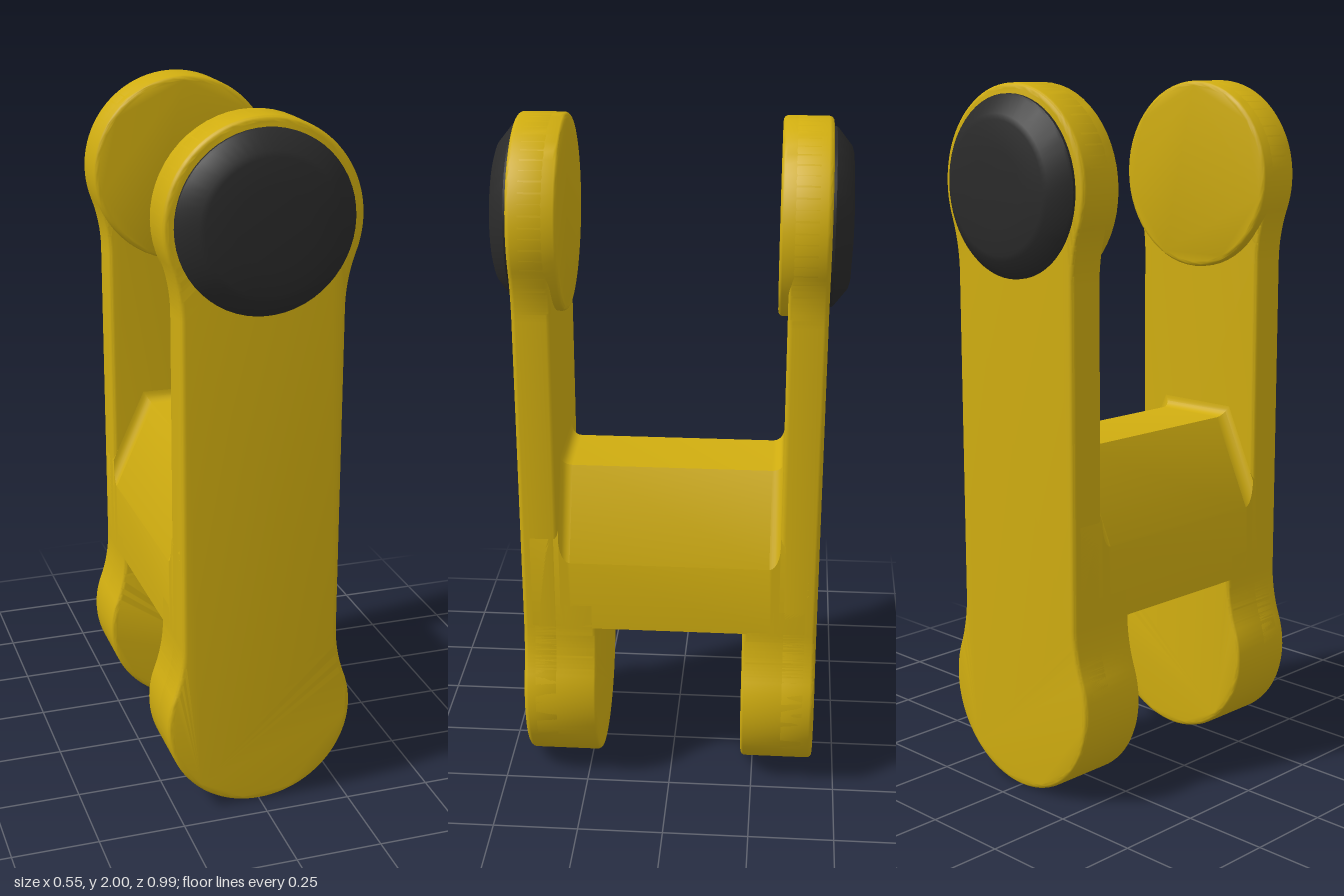
import * as THREE from 'three';
import { toCreasedNormals } from 'three/addons/utils/BufferGeometryUtils.js';

const yellow = new THREE.MeshStandardMaterial({ color: 0xd0ad10 });
const black = new THREE.MeshStandardMaterial({ color: 0x2a2a2a });

const R = 0.275;           // radius of the round ends
const W = 0.23;            // half width of the arm
const TOP = 1.725, LOW = 0.278;
const NECK = 0.45;         // radius of the concave neck
const DY = Math.sqrt((R + NECK) ** 2 - (W + NECK) ** 2);
const T = Math.atan2(DY, W + NECK);
const INNER = 0.322, OUTER = 0.433;

// Drops coincident points so that bevels stay clean
function clean(shape) {
  const kept = [];
  for (const p of shape.getPoints(28)) {
    if (!kept.some((q) => q.distanceTo(p) < 1e-4)) kept.push(p);
  }
  return new THREE.Shape(kept);
}

// Round lower end with its two necks, left open at the top
function lowerEnd(shape) {
  shape.absarc(-W - NECK, LOW + DY, NECK, 0, -T, true);
  shape.absarc(0, LOW, R, Math.PI - T, 2 * Math.PI + T, false);
  shape.absarc(W + NECK, LOW + DY, NECK, Math.PI + T, Math.PI, true);
}

function armShape() {
  const s = new THREE.Shape();
  lowerEnd(s);
  s.absarc(W + NECK, TOP - DY, NECK, Math.PI, Math.PI - T, true);
  s.absarc(0, TOP, R, -T, Math.PI + T, false);
  s.absarc(-W - NECK, TOP - DY, NECK, T, 0, true);
  return clean(s);
}

function lowerBossShape() {
  const s = new THREE.Shape();
  lowerEnd(s);
  s.lineTo(W, 0.6);
  s.lineTo(-W, 0.6);
  return clean(s);
}

function discShape() {
  return clean(new THREE.Shape().absarc(0, TOP, R, 0, Math.PI * 2, false));
}

// Slab with softly rounded rims between two depths
function slab(name, shape, z0, z1, bevel = 0.014) {
  const geo = new THREE.ExtrudeGeometry(shape, {
    depth: z1 - z0 - 2 * bevel, bevelThickness: bevel, bevelSize: bevel,
    bevelOffset: -bevel, bevelSegments: 4, curveSegments: 28,
  });
  geo.translate(0, 0, z0 + bevel);
  const mesh = new THREE.Mesh(toCreasedNormals(geo, 0.6), yellow);
  mesh.name = name;
  return mesh;
}

// Shallow chamfered cap over the pivot
function pivotCap() {
  const profile = [[0.24, 0.425], [0.247, 0.432], [0.247, 0.441], [0.242, 0.447], [0.196, 0.484],
    [0.18, 0.489], [0.1, 0.494], [0, 0.496]].map(([r, z]) => new THREE.Vector2(r, z));
  const geo = new THREE.LatheGeometry(profile, 56);
  geo.rotateX(Math.PI / 2);
  geo.translate(0, TOP, 0);
  const mesh = new THREE.Mesh(toCreasedNormals(geo, 0.4), black);
  mesh.name = 'pivotCap';
  return mesh;
}

// Cross bar with a roof-like top that flares in a fillet where it meets the arms
function bridge() {
  const r = 0.032, steps = 6;
  const half = [];
  for (let i = 0; i <= steps; i++) {
    const a = (i / steps) * Math.PI / 2;
    half.push([INNER - r + r * Math.sin(a), r - r * Math.cos(a)]);
  }
  half.push([0.405, r]);
  const stations = [...half.map(([z, d]) => [-z, d]).reverse(), ...half];
  const rings = stations.map(([z, d]) => {
    const x = 0.11 + 0.639 * d, y = 1 + d, eave = 0.74 + 2.386 * d;
    return [[-W, 0.525], [W, 0.525], [W, eave], [x, y], [-x, y], [-W, eave]]
      .map(([px, py]) => [px, py, z]);
  });
  const pos = [];
  for (let i = 0; i < rings.length - 1; i++) {
    for (let j = 0; j < 6; j++) {
      const k = (j + 1) % 6;
      const a = rings[i][j], b = rings[i][k], c = rings[i + 1][k], d = rings[i + 1][j];
      pos.push(...a, ...b, ...c, ...a, ...c, ...d);
    }
  }
  const geo = new THREE.BufferGeometry();
  geo.setAttribute('position', new THREE.Float32BufferAttribute(pos, 3));
  const mesh = new THREE.Mesh(toCreasedNormals(geo, 0.45), yellow);
  mesh.name = 'bridge';
  return mesh;
}

export function createModel() {
  const model = new THREE.Group();
  model.name = 'doubleClevisLink';
  model.add(bridge());

  // Front and back arms are the same part turned half a turn
  for (const [name, turn] of [['frontArm', 0], ['backArm', Math.PI]]) {
    const arm = new THREE.Group();
    arm.name = name;
    arm.add(
      slab('armPlate', armShape(), INNER, OUTER),
      slab('lowerBoss', lowerBossShape(), 0.215, 0.412),
      slab('upperBoss', discShape(), 0.295, 0.412),
      pivotCap(),
    );
    arm.rotation.y = turn;
    model.add(arm);
  }
  return model;
}
